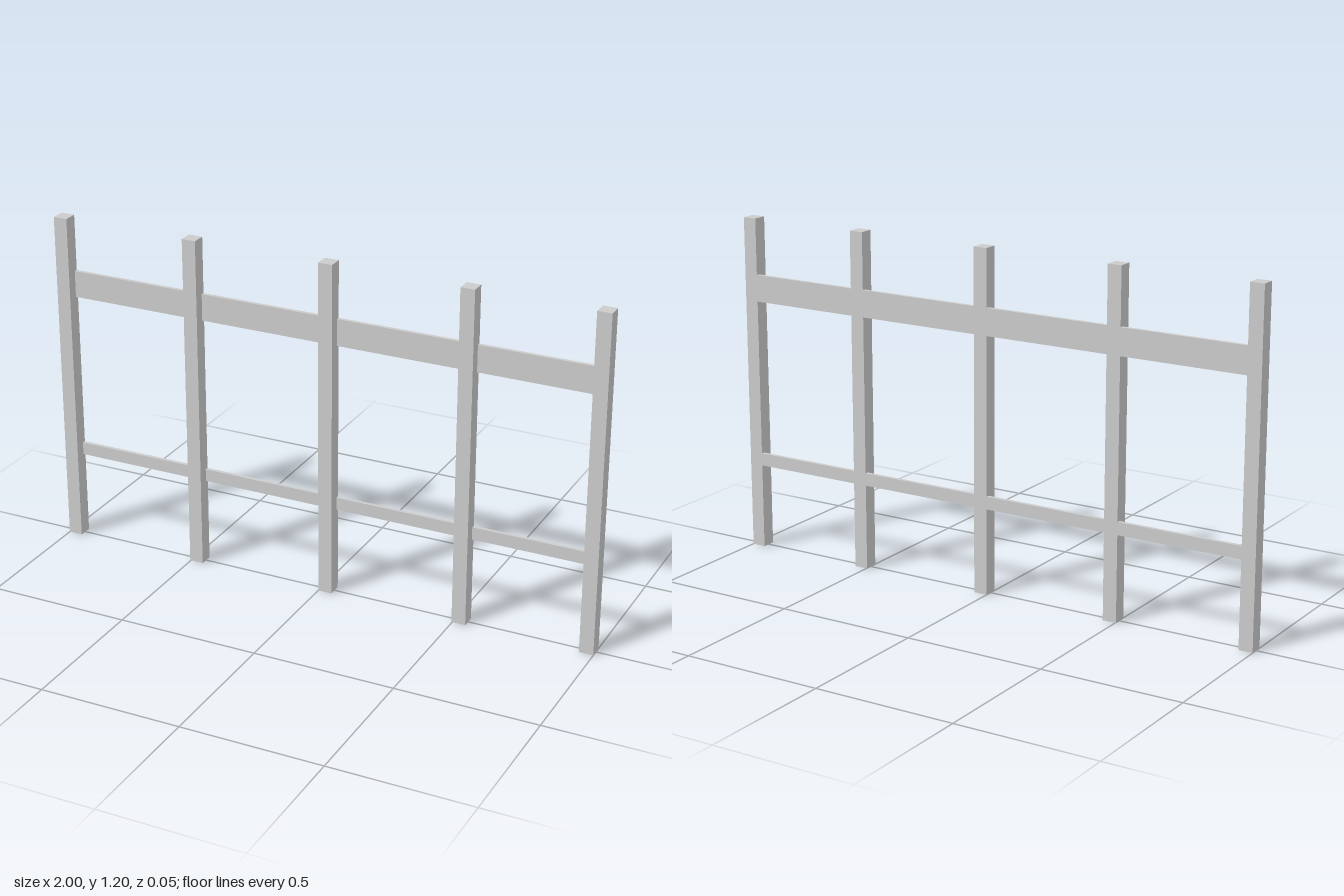
import * as THREE from 'three';

export function createModel() {
  const model = new THREE.Group();
  model.name = 'fence';
  const material = new THREE.MeshStandardMaterial({ color: 0xcccccc, flatShading: true });

  const POST = 0.05;
  const HEIGHT = 1.2;
  const BACK = -POST / 2;
  const RAIL_DEPTH = 0.013;
  const postX = [-0.975, -0.478, 0.025, 0.522, 0.975];

  const addBox = (parent, name, size, position) => {
    const mesh = new THREE.Mesh(new THREE.BoxGeometry(...size), material);
    mesh.name = name;
    mesh.position.set(...position);
    parent.add(mesh);
  };

  // Square upright posts
  const posts = new THREE.Group();
  posts.name = 'posts';
  postX.forEach((x, i) => addBox(posts, `post${i + 1}`, [POST, HEIGHT, POST], [x, HEIGHT / 2, 0]));
  model.add(posts);

  // Thin rails between neighbouring posts, flush with the back of the posts
  const addRail = (name, bottom, top) => {
    const rail = new THREE.Group();
    rail.name = name;
    for (let i = 0; i < postX.length - 1; i++) {
      const x0 = postX[i] + POST / 2;
      const x1 = postX[i + 1] - POST / 2;
      addBox(rail, `${name}Section${i + 1}`, [x1 - x0, top - bottom, RAIL_DEPTH],
        [(x0 + x1) / 2, (bottom + top) / 2, BACK + RAIL_DEPTH / 2]);
    }
    model.add(rail);
  };
  addRail('upperRail', 0.905, 1.0);
  addRail('lowerRail', 0.305, 0.35);

  return model;
}
